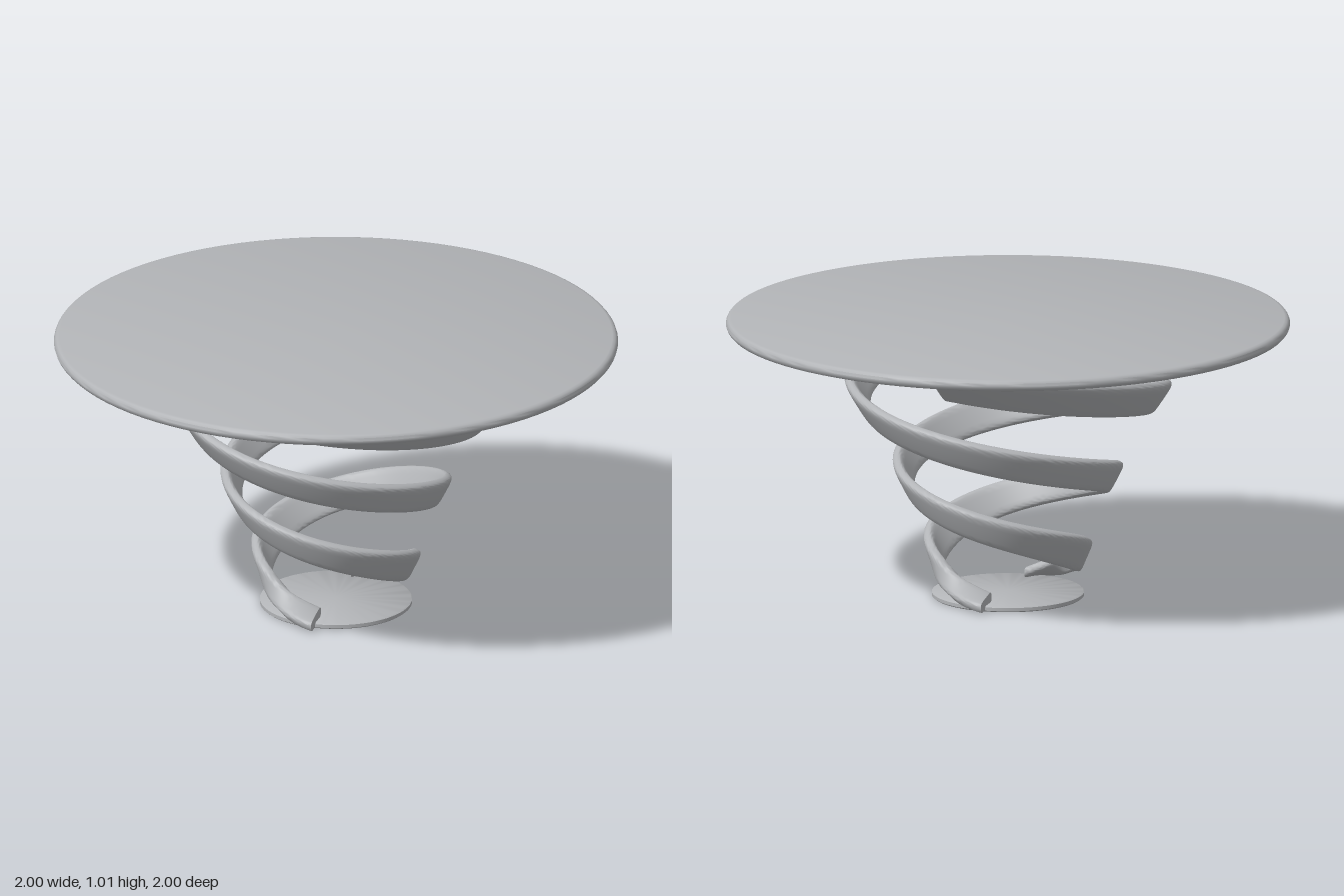
import * as THREE from 'three';
import { toCreasedNormals } from 'three/addons/utils/BufferGeometryUtils.js';

const grey = new THREE.MeshStandardMaterial({ color: 0xb2b4b7 });
grey.name = 'satinGrey';

function lathe(name, points) {
  const geo = new THREE.LatheGeometry(points.map(([r, y]) => new THREE.Vector2(r, y)), 96);
  const mesh = new THREE.Mesh(toCreasedNormals(geo, 0.7), grey);
  mesh.name = name;
  return mesh;
}

// Ribbon edges as [radius, height], one station per quarter turn
const spline = (pts) => new THREE.CatmullRomCurve3(pts.map(([r, y]) => new THREE.Vector3(r, y, 0)), false, 'catmullrom', 0.5);
const topEdge = spline([[0.94, 1.06], [0.735, 0.952], [0.598, 0.805], [0.507, 0.655], [0.422, 0.508],
  [0.366, 0.362], [0.312, 0.22], [0.19, 0.06]]);
const lowEdge = spline([[0.67, 0.94], [0.58, 0.82], [0.52, 0.688], [0.44, 0.54], [0.365, 0.396],
  [0.31, 0.25], [0.255, 0.105], [0.33, 0.045]]);

// Rounded bar swept down a tapering spiral, twisting flat at the foot
function ribbonGeometry() {
  const steps = 200, ring = 28, half = 0.02;
  const start = -0.18, end = 3 * Math.PI - 0.1;
  const pos = [], idx = [];
  for (let i = 0; i <= steps; i++) {
    const a = start + (end - start) * i / steps;
    const t = (a + Math.PI / 2) / (3.5 * Math.PI);
    const top = topEdge.getPoint(t), low = lowEdge.getPoint(t);
    const d = top.clone().sub(low), len = d.length() / 2;
    d.normalize();
    const n = new THREE.Vector3(d.y, -d.x, 0);
    const mid = top.add(low).multiplyScalar(0.5).addScaledVector(n, -half);
    for (let j = 0; j < ring; j++) {
      const u = j / ring * Math.PI * 2, c = Math.cos(u), s = Math.sin(u);
      // squared-off oval section
      const p = mid.clone()
        .addScaledVector(n, half * Math.sign(c) * Math.abs(c) ** 0.5)
        .addScaledVector(d, len * Math.sign(s) * Math.abs(s) ** 0.5);
      pos.push(p.x * Math.sin(a), p.y, p.x * Math.cos(a));
    }
  }
  for (let i = 0; i < steps; i++) {
    for (let j = 0; j < ring; j++) {
      const k = (j + 1) % ring, a = i * ring, b = a + ring;
      idx.push(a + j, b + j, a + k, b + j, b + k, a + k);
    }
  }
  // end caps
  const last = steps * ring;
  for (let j = 1; j < ring - 1; j++) {
    idx.push(0, j, j + 1, last, last + j + 1, last + j);
  }
  const geo = new THREE.BufferGeometry();
  geo.setAttribute('position', new THREE.Float32BufferAttribute(pos, 3));
  geo.setIndex(idx);
  return toCreasedNormals(geo, 0.8);
}

export function createModel() {
  const model = new THREE.Group();
  model.name = 'spiralTable';

  // Round top with a flared hub beneath
  model.add(lathe('tableTop', [
    [0, 0.82], [0.335, 0.82], [0.337, 0.85], [0.35, 0.878], [0.38, 0.902], [0.43, 0.924],
    [0.5, 0.942], [0.6, 0.958], [0.72, 0.969], [0.85, 0.976], [0.98, 0.979],
    [0.99, 0.982], [0.997, 0.99], [1, 1], [0.997, 1.01], [0.99, 1.018], [0.98, 1.021], [0, 1.021],
  ]));

  // Foot plate
  model.add(lathe('footPlate', [
    [0, 0.01], [0.265, 0.01], [0.27, 0.014], [0.27, 0.026], [0.265, 0.03], [0, 0.03],
  ]));

  // Two interleaved spiral legs
  const geo = ribbonGeometry();
  for (let k = 0; k < 2; k++) {
    const leg = new THREE.Mesh(geo, grey);
    leg.name = k ? 'spiralLegBack' : 'spiralLegFront';
    leg.rotation.y = k * Math.PI;
    model.add(leg);
  }
  return model;
}
